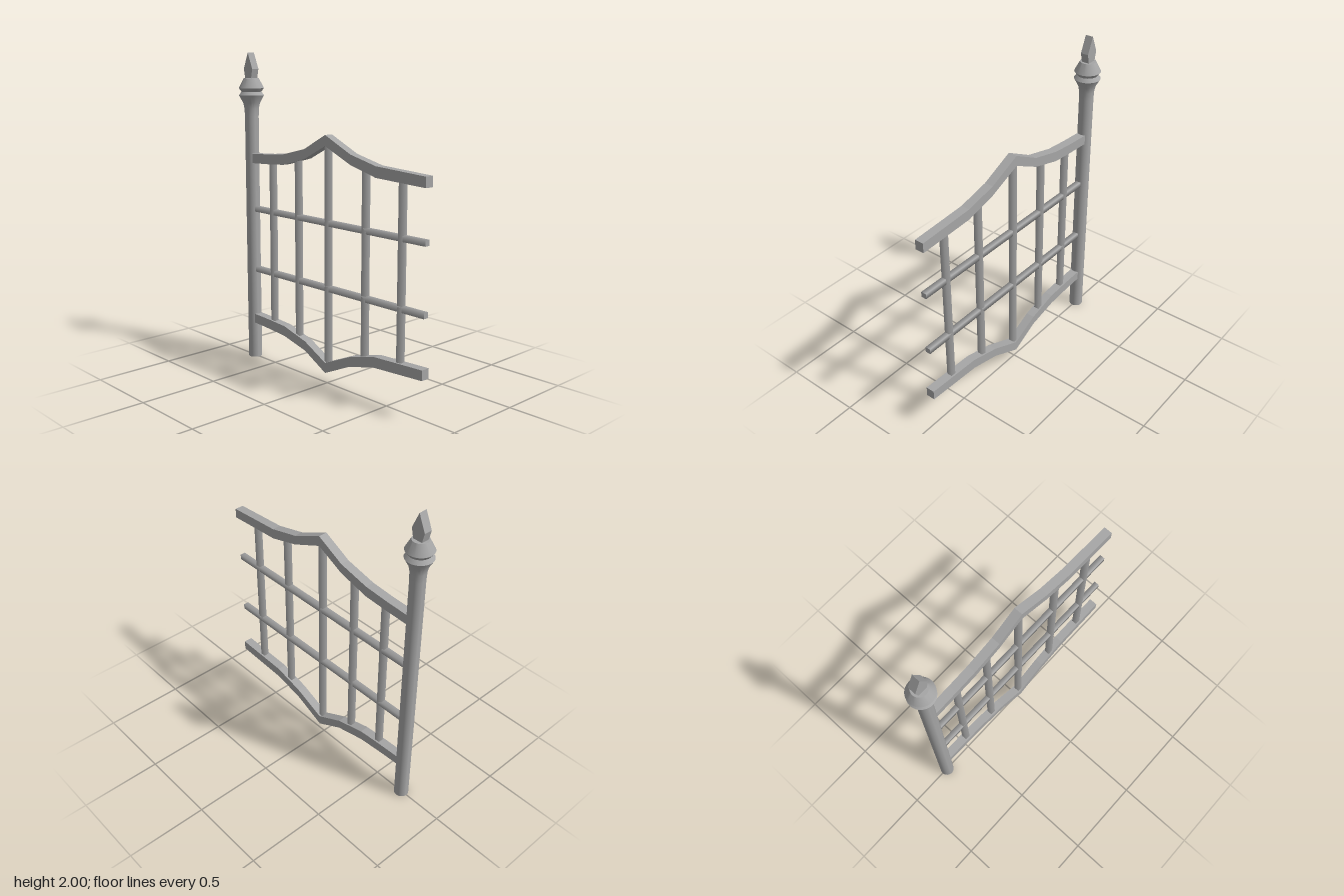
import * as THREE from 'three';
import { toCreasedNormals } from 'three/addons/utils/BufferGeometryUtils.js';

const POST_X = -0.707, MID_Y = 0.802, BAR_WIDTH = 0.034;

// Rail stations: x, lower edge y, upper edge y
const RAIL = [
  [-0.69, 1.304, 1.364], [-0.52, 1.311, 1.373], [-0.37, 1.321, 1.386], [-0.172, 1.374, 1.434],
  [0.011, 1.466, 1.531], [0.222, 1.374, 1.434], [0.422, 1.321, 1.386], [0.787, 1.304, 1.365],
];

// Height of the rail's middle line at x
function railY(x) {
  const i = RAIL.findIndex((p) => p[0] >= x);
  const a = RAIL[i - 1], b = RAIL[i];
  const t = (x - a[0]) / (b[0] - a[0]);
  return ((a[1] + a[2]) * (1 - t) + (b[1] + b[2]) * t) / 2;
}

// Flat outline given depth in z, centred on z = 0
function slab(points, depth) {
  const shape = new THREE.Shape(points.map(([x, y]) => new THREE.Vector2(x, y)));
  return new THREE.ExtrudeGeometry(shape, { depth, bevelEnabled: false }).translate(0, 0, -depth / 2);
}

// Square bar along y with soft shading around its four sides
function squareBar(length) {
  const r = BAR_WIDTH / Math.SQRT2;
  return new THREE.CylinderGeometry(r, r, length, 4).rotateY(Math.PI / 4);
}

export function createModel() {
  const gate = new THREE.Group();
  gate.name = 'gatePanel';
  const iron = new THREE.MeshStandardMaterial({ color: 0xa6a6a6 });
  iron.name = 'grey iron';

  const add = (name, geometry, x = 0, y = 0) => {
    const mesh = new THREE.Mesh(geometry, iron);
    mesh.name = name;
    mesh.position.set(x, y, 0);
    gate.add(mesh);
  };

  // Turned post with flared neck and double collar
  const profile = [
    [0, 0], [0.044, 0], [0.044, 1.6], [0.046, 1.65], [0.053, 1.685], [0.08, 1.735],
    [0.063, 1.757], [0.08, 1.78], [0.048, 1.842], [0, 1.842],
  ].map(([r, y]) => new THREE.Vector2(r, y));
  add('post', toCreasedNormals(new THREE.LatheGeometry(profile, 32), 0.45), POST_X);

  // Flat spearhead on the post
  add('finial', slab([
    [-0.029, 1.84], [0.029, 1.84], [0.043, 1.9], [0, 2], [-0.043, 1.9],
  ], 0.05), POST_X);

  // Peaked top rail and its mirror image at the bottom
  const outline = [
    ...RAIL.map(([x, lo]) => [x, lo]),
    ...RAIL.map(([x, , hi]) => [x, hi]).reverse(),
  ];
  add('topRail', slab(outline, 0.056));
  add('bottomRail', slab(outline.map(([x, y]) => [x, 2 * MID_Y - y]).reverse(), 0.056));

  // Upright bars between the rails
  for (const x of [-0.498, -0.255, 0.011, 0.322, 0.602]) {
    add('uprightBar', squareBar(2 * (railY(x) - MID_Y)), x, MID_Y);
  }

  // Cross bars running from the post to the free end
  const start = -0.69, end = 0.782;
  for (const y of [0.604, 1.005]) {
    add('crossBar', squareBar(end - start).rotateZ(Math.PI / 2), (start + end) / 2, y);
  }

  return gate;
}
